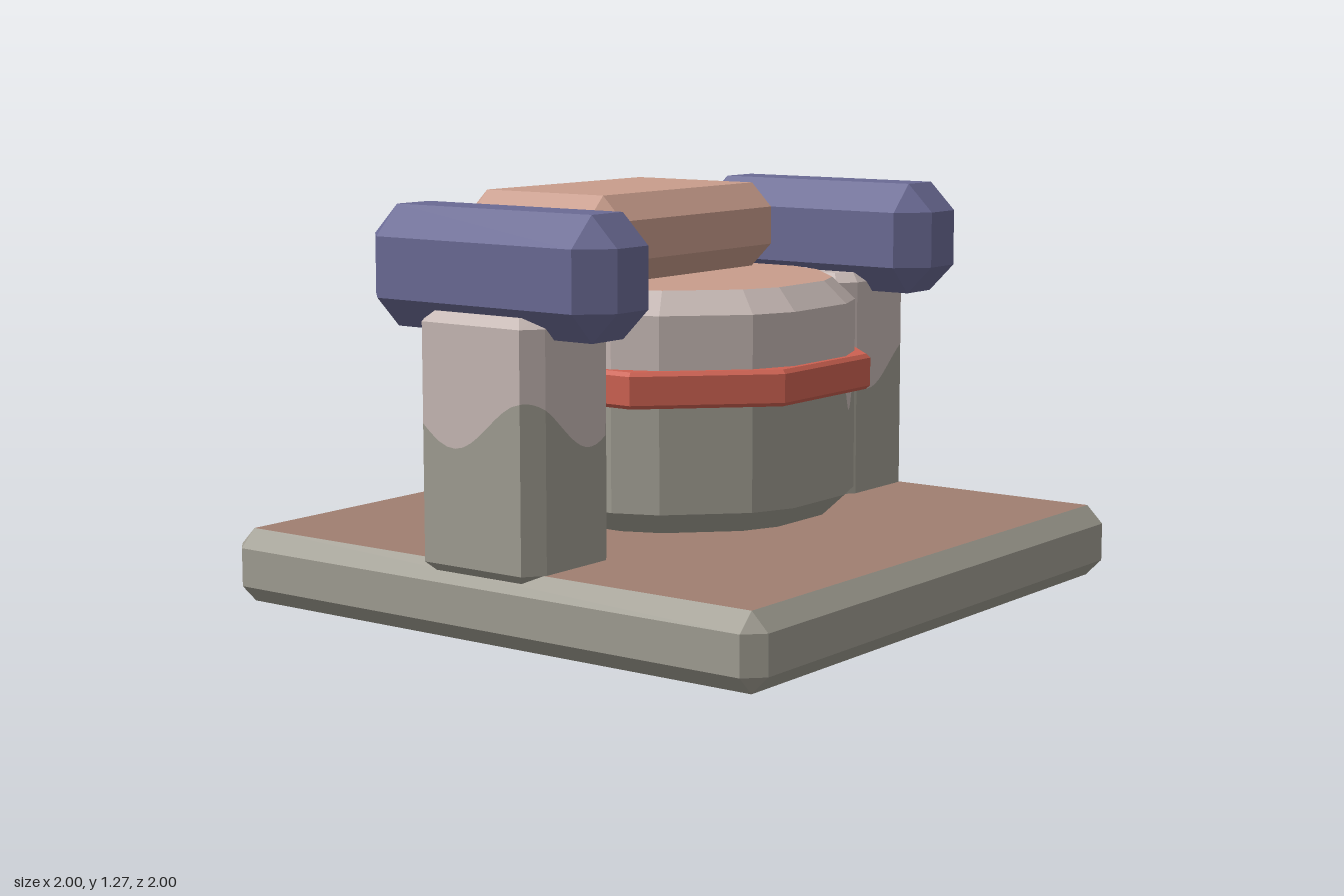
import * as THREE from 'three';
import { ConvexGeometry } from 'three/addons/geometries/ConvexGeometry.js';

const mat = (name, color) => {
  const m = new THREE.MeshStandardMaterial({ color });
  m.name = name;
  return m;
};

// Box with chamfered edges; the chamfer may differ per axis
function chamferBox([w, h, d], [bx, by, bz]) {
  const pts = [];
  for (const i of [-1, 1]) for (const j of [-1, 1]) for (const k of [-1, 1]) {
    const x = w / 2, y = h / 2, z = d / 2;
    pts.push(
      new THREE.Vector3(i * x, j * (y - by), k * (z - bz)),
      new THREE.Vector3(i * (x - bx), j * y, k * (z - bz)),
      new THREE.Vector3(i * (x - bx), j * (y - by), k * z));
  }
  return new ConvexGeometry(pts);
}

// Give the flat top and bottom faces the second material
function paintCaps(geo) {
  const n = geo.attributes.normal;
  for (let i = 0; i < n.count; i += 3) geo.addGroup(i, 3, Math.abs(n.getY(i)) > 0.99 ? 1 : 0);
  return geo;
}

// Chamfered prism over an [x, z] outline, its walls split at a painted line.
// Material groups: 0 lower, 1 upper, 2 top face
function paintedPrism(outline, y0, y1, bevel, inset, line, steps = 12) {
  const lists = [[], [], []];
  const hx = Math.max(...outline.map(p => p[0])), hz = Math.max(...outline.map(p => p[1]));
  const shrink = ([x, z]) => [x * (1 - inset / hx), z * (1 - inset / hz)];
  const quad = (list, a, b, ya, yb, a2, b2, ya2, yb2) => {
    const A = [a[0], ya, a[1]], B = [b[0], yb, b[1]];
    const C = [b2[0], yb2, b2[1]], D = [a2[0], ya2, a2[1]];
    list.push(...A, ...B, ...C, ...A, ...C, ...D);
  };
  const lo = y0 + bevel, hi = y1 - bevel;
  let s = 0;
  outline.forEach((p, i) => {
    const q = outline[(i + 1) % outline.length];
    const len = Math.hypot(q[0] - p[0], q[1] - p[1]);
    const at = t => [p[0] + (q[0] - p[0]) * t, p[1] + (q[1] - p[1]) * t];
    for (let k = 0; k < steps; k++) {
      const t = k / steps, u = (k + 1) / steps, a = at(t), b = at(u);
      const ya = line(s + t * len, a), yb = line(s + u * len, b);
      quad(lists[0], a, b, lo, lo, a, b, ya, yb);
      quad(lists[1], a, b, ya, yb, a, b, hi, hi);
    }
    s += len;
    const p2 = shrink(p), q2 = shrink(q);
    quad(lists[0], p2, q2, y0, y0, p, q, lo, lo);
    quad(lists[1], p, q, hi, hi, p2, q2, y1, y1);
    lists[0].push(0, y0, 0, q2[0], y0, q2[1], p2[0], y0, p2[1]);
    lists[2].push(0, y1, 0, p2[0], y1, p2[1], q2[0], y1, q2[1]);
  });
  const geo = new THREE.BufferGeometry();
  geo.setAttribute('position', new THREE.Float32BufferAttribute(lists.flat(), 3));
  let start = 0;
  lists.forEach((l, i) => {
    geo.addGroup(start, l.length / 3, i);
    start += l.length / 3;
  });
  geo.computeVertexNormals();
  return geo;
}

export function createModel() {
  const grey = mat('stone grey', 0xa09d92);
  const pale = mat('pale rose grey', 0xc6b8b4);
  const salmon = mat('salmon', 0xc99d8c);
  const brown = mat('brown', 0xa07f71);
  const red = mat('red', 0xcd6151);
  const blue = mat('slate blue', 0x6a6a94);
  const lavender = mat('lavender', 0xb2b2c6);

  const model = new THREE.Group();
  model.name = 'model';
  const add = (name, geo, material, x = 0, y = 0, z = 0) => {
    const m = new THREE.Mesh(geo, material);
    m.name = name;
    m.position.set(x, y, z);
    model.add(m);
  };

  // Square base plate
  add('base', paintCaps(chamferBox([2, 0.23, 2], [0.055, 0.055, 0.055])), [grey, brown], 0, 0.115, 0);

  // Drum body: an octagon with its corners cut
  const outline = [];
  const apothem = 0.53, corner = apothem * Math.tan(Math.PI / 8), cut = 0.08;
  for (let i = 0; i < 8; i++) {
    const a = i * Math.PI / 4, c = Math.cos(a), n = Math.sin(a);
    for (const e of [-(corner - cut), corner - cut]) {
      outline.push([e * c + apothem * n, apothem * c - e * n]);
    }
  }
  const drips = [0.36, 1.0];
  const bodyLine = (s, [x, z]) => drips.reduce(
    (y, d) => y - 0.11 * Math.exp(-(((Math.atan2(x, z) - d) / 0.1) ** 2)), 0.705);
  add('body', paintedPrism(outline, 0.27, 1.0, 0.068, 0.07, bodyLine), [grey, pale, salmon]);

  // Octagonal band around the body
  const r = 1 / Math.cos(Math.PI / 8);
  const profile = [[0.5, 0.66], [0.548, 0.66], [0.56, 0.672], [0.56, 0.758], [0.548, 0.77], [0.5, 0.77]]
    .map(([x, y]) => new THREE.Vector2(x * r, y));
  const band = new THREE.LatheGeometry(profile, 8, Math.PI / 8).toNonIndexed();
  band.computeVertexNormals();
  add('band', band, red);

  // Neck and head, set back over the body
  add('neck', chamferBox([0.9, 0.2, 0.3], [0.05, 0.05, 0.05]), lavender, 0, 1.03, -0.22);
  add('head', chamferBox([0.925, 0.27, 0.61], [0.075, 0.075, 0.075]), salmon, 0, 1.135, -0.23);

  // Side columns with a wavy paint line, hubs and arm bars
  const hx = 0.195, hz = 0.228, cx = 0.06, cz = 0.045;
  const column = [[-hx + cx, hz], [hx - cx, hz], [hx, hz - cz], [hx, -hz + cz],
    [hx - cx, -hz], [-hx + cx, -hz], [-hx, -hz + cz], [-hx, hz - cz]];
  const front = 2 * (hx - cx);
  const around = 2 * front + 4 * (hz - cz) + 4 * Math.hypot(cx, cz);
  for (const side of [-1, 1]) {
    const label = side > 0 ? 'left' : 'right';
    const line = s => {
      const t = side > 0 ? s : front - s;
      return 0.65 - 0.075 * Math.cos(6 * Math.PI * (t - 0.07) / around);
    };
    add(label + 'Column', paintedPrism(column, 0.2, 0.965, 0.03, 0.03, line), [grey, pale, pale], side * 0.803);
    add(label + 'Hub', chamferBox([0.14, 0.18, 0.28], [0.04, 0.045, 0.075]), lavender, side * 0.585, 0.89, 0);
    add(label + 'ArmBar', chamferBox([0.32, 0.36, 0.91], [0.09, 0.09, 0.09]), blue, side * 0.828, 1.08, 0);
  }
  return model;
}
